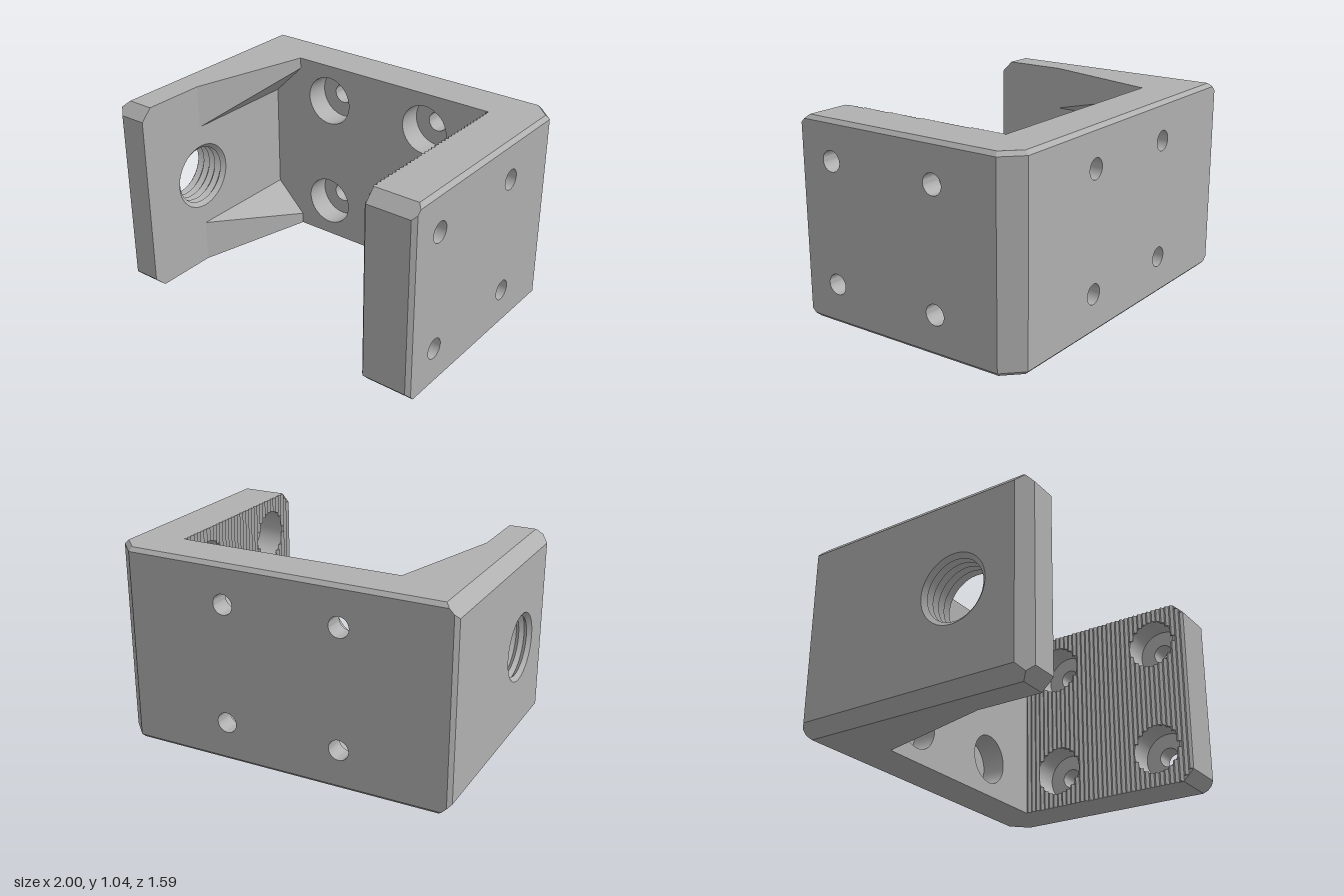
import * as THREE from 'three';
import { mergeGeometries, toCreasedNormals } from 'three/addons/utils/BufferGeometryUtils.js';
import { ConvexGeometry } from 'three/addons/geometries/ConvexGeometry.js';

const V = (x, y, z) => new THREE.Vector3(x, y, z);
const H = 1.04, HX = 0.914, HZ = 0.64;            // height, half width, half depth
const BACK = -0.398, LEFT = -0.707, RIGHT = 0.657; // inner faces of the three walls
const BOLT_Y = [0.21, 0.835], BACK_X = [-0.339, 0.282], ARM_Z = [-0.186, 0.434];
const BOLT_R = 0.053, BORE_R = 0.135, THREAD_R = 0.18, THREAD_Y = 0.52, THREAD_Z = 0.24;

// Half-space: points p with n.p <= d
const plane = (n, d, extra = {}) => ({ n: n.clone().divideScalar(n.length()), d: d / n.length(), ...extra });
const bevel = (a, b, size) => plane(a.n.clone().add(b.n), a.d + b.d - size);

// Faces of the convex solid bounded by the planes; faces may carry round holes
function solidFrom(planes) {
  const corners = [];
  for (let i = 0; i < planes.length; i++)
    for (let j = i + 1; j < planes.length; j++)
      for (let k = j + 1; k < planes.length; k++) {
        const [a, b, c] = [planes[i], planes[j], planes[k]];
        const bc = b.n.clone().cross(c.n), det = a.n.dot(bc);
        if (Math.abs(det) < 1e-5) continue;
        const p = bc.multiplyScalar(a.d)
          .addScaledVector(c.n.clone().cross(a.n), b.d)
          .addScaledVector(a.n.clone().cross(b.n), c.d)
          .divideScalar(det);
        if (planes.every(q => q.n.dot(p) < q.d + 1e-5) && !corners.some(q => q.distanceTo(p) < 1e-4)) corners.push(p);
      }
  const faces = [];
  for (const { n, d, holes = [], skip } of planes) {
    if (skip) continue;
    const e1 = (Math.abs(n.y) > 0.9 ? V(1, 0, 0) : V(0, 1, 0)).cross(n).normalize();
    const e2 = n.clone().cross(e1);
    const flat = p => new THREE.Vector2(p.dot(e1), p.dot(e2));
    const pts = corners.filter(p => Math.abs(n.dot(p) - d) < 1e-4).map(flat);
    if (pts.length < 3) continue;
    const mid = pts.reduce((s, p) => s.add(p), new THREE.Vector2()).divideScalar(pts.length);
    pts.sort((a, b) => Math.atan2(a.y - mid.y, a.x - mid.x) - Math.atan2(b.y - mid.y, b.x - mid.x));
    const shape = new THREE.Shape(pts);
    for (const [centre, r] of holes) {
      const c = flat(centre);
      shape.holes.push(new THREE.Path().absarc(c.x, c.y, r, 0, Math.PI * 2, true));
    }
    const m = new THREE.Matrix4().makeBasis(e1, e2, n).setPosition(n.clone().multiplyScalar(d));
    faces.push(new THREE.ShapeGeometry(shape, 20).applyMatrix4(m));
  }
  return mergeGeometries(faces);
}

// Round bore from a list of [radius, depth], running along +y
const bore = profile => toCreasedNormals(
  new THREE.LatheGeometry(profile.map(([r, h]) => new THREE.Vector2(r, h)), 40), 0.5);

export function createModel() {
  const group = new THREE.Group();
  group.rotation.y = -THREE.MathUtils.degToRad(10.6);
  const grey = new THREE.MeshStandardMaterial({ color: 0xb0b0b0, side: THREE.DoubleSide });
  grey.name = 'grey';
  const add = (name, geometry, x = 0, y = 0, z = 0) => {
    const mesh = new THREE.Mesh(geometry, grey);
    mesh.name = name;
    mesh.position.set(x, y, z);
    group.add(mesh);
  };

  // Hole layouts
  const grid = (make, r) => BOLT_Y.flatMap(y => [0, 1].map(i => [make(y, i), r]));
  const backHoles = r => grid((y, i) => V(BACK_X[i], y, 0), r);
  const armHoles = r => grid((y, i) => V(0, y, ARM_Z[i]), r);
  const threadHole = [[V(0, THREAD_Y, THREAD_Z), THREAD_R]];

  // Outer envelope with its bevels, shared by the three walls
  const top = plane(V(0, 1, 0), H), bottom = plane(V(0, -1, 0), 0);
  const front = plane(V(0, 0, 1), HZ);
  const back = plane(V(0, 0, -1), HZ, { holes: backHoles(BOLT_R) });
  const left = plane(V(-1, 0, 0), HX, { holes: threadHole });
  const right = plane(V(1, 0, 0), HX, { holes: armHoles(BOLT_R) });
  const corner = bevel(back, right, 0.098);
  const envelope = [top, bottom, front, back, left, right, corner,
    bevel(back, left, 0.02), bevel(front, right, 0.02), bevel(front, left, 0.065)];
  for (const cap of [top, bottom])
    envelope.push(bevel(cap, left, 0.065), bevel(cap, front, 0.06),
      bevel(cap, back, 0.02), bevel(cap, right, 0.02), bevel(cap, corner, 0.02));

  // Walls: hidden joint faces are skipped
  const joint = plane(V(0, 0, -1), -BACK, { skip: true });
  add('backWall', solidFrom([...envelope, plane(V(0, 0, 1), BACK, { holes: backHoles(BORE_R) })]));
  add('threadedArm', solidFrom([...envelope, joint, plane(V(1, 0, 0), LEFT, { holes: threadHole })]));
  add('ribbedArm', solidFrom([...envelope, joint, plane(V(-1, 0, 0), -RIGHT, { holes: armHoles(BORE_R) })]));

  // Counterbored bolt holes
  const bolt = length => [[BOLT_R, 0], [BOLT_R, 0.11], [BORE_R, 0.11], [BORE_R, length]];
  for (const y of BOLT_Y) {
    for (const x of BACK_X) add('backBoltHole', bore(bolt(BACK + HZ)).rotateX(Math.PI / 2), x, y, -HZ);
    for (const z of ARM_Z) add('armBoltHole', bore(bolt(HX - RIGHT)).rotateZ(Math.PI / 2), HX, y, z);
  }

  // Threaded hole
  const thread = [], turns = 5, depth = LEFT + HX;
  for (let i = 0; i <= turns * 2; i++) thread.push([i % 2 ? 0.157 : THREAD_R, depth * i / (turns * 2)]);
  add('threadedHole', bore(thread).rotateZ(-Math.PI / 2), -HX, THREAD_Y, THREAD_Z);

  // Tapered gussets at the top and bottom of the threaded arm
  for (const flip of [false, true]) {
    const y = h => flip ? H - h : h;
    add('gusset', new ConvexGeometry([
      V(LEFT, y(0.81), BACK), V(-0.537, y(0.98), BACK), V(-0.537, y(H), BACK),
      V(LEFT, y(H), BACK), V(LEFT, y(0.81), 0.244), V(LEFT, y(H), 0.244)]));
  }

  // Fine vertical grip ridges, broken where they cross the counterbores
  const count = 36, pitch = (HZ - BACK) / count, ridges = [];
  for (let i = 0; i < count; i++) {
    const z = BACK + (i + 0.5) * pitch;
    const cut = Math.max(0, z + pitch / 2 - (HZ - 0.06));
    const ends = [cut];
    for (const y of BOLT_Y)
      for (const hz of ARM_Z) {
        const half = Math.sqrt(Math.max(0, BORE_R ** 2 - (z - hz) ** 2));
        if (half > 0) ends.push(y - half, y + half);
      }
    ends.push(H - cut);
    for (let k = 0; k < ends.length; k += 2) {
      const tooth = new THREE.Shape([
        new THREE.Vector2(RIGHT, -z - pitch / 2),
        new THREE.Vector2(RIGHT, -z + pitch / 2),
        new THREE.Vector2(RIGHT - 0.013, -z)]);
      ridges.push(new THREE.ExtrudeGeometry(tooth, { depth: ends[k + 1] - ends[k], bevelEnabled: false })
        .rotateX(-Math.PI / 2).translate(0, ends[k], 0));
    }
  }
  add('gripRidges', mergeGeometries(ridges));

  const model = new THREE.Group();
  model.name = 'mountingBracket';
  model.add(group);
  group.name = 'bracketBody';
  return model;
}
